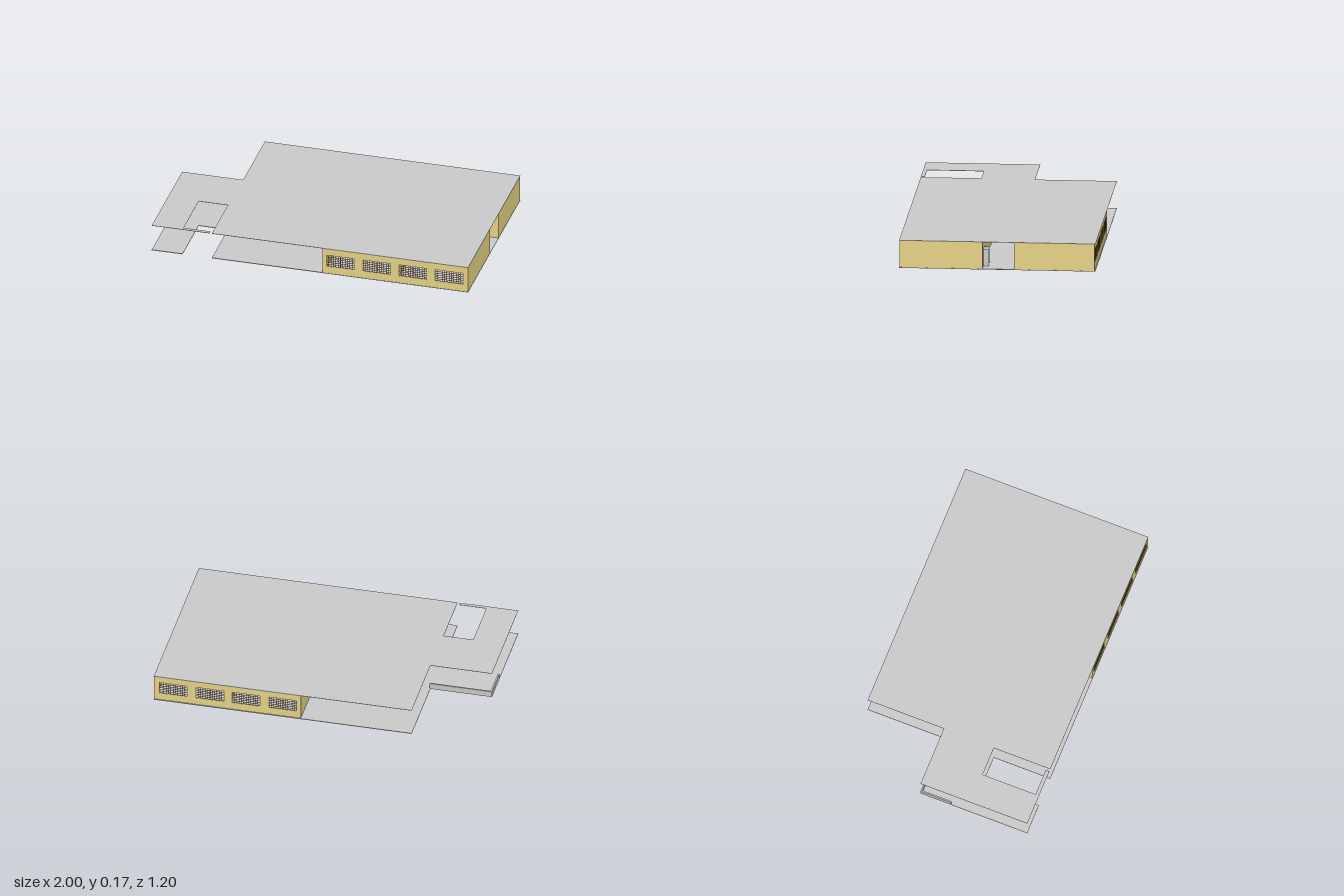
import * as THREE from 'three';

const H = 0.173, FLOOR = 0.004, ROOF = 0.002, T = 0.007;
const grey = new THREE.MeshStandardMaterial({ color: 0xcccccc });
const wallMat = new THREE.MeshStandardMaterial({ color: 0xe8d688 });
const barMat = new THREE.MeshStandardMaterial({ color: 0x7a5a2c });
const postMat = new THREE.MeshStandardMaterial({ color: 0xa8552c });

function add(parent, name, geometry, material) {
  const mesh = new THREE.Mesh(geometry, material);
  mesh.name = name;
  parent.add(mesh);
  return mesh;
}

// Box given by its minimum and maximum corners
function box(parent, name, a, b, material) {
  const g = new THREE.BoxGeometry(b[0] - a[0], b[1] - a[1], b[2] - a[2]);
  g.translate((a[0] + b[0]) / 2, (a[1] + b[1]) / 2, (a[2] + b[2]) / 2);
  return add(parent, name, g, material);
}

// Horizontal slab from an outline in x, z
function slab(parent, name, outline, top, depth) {
  const shape = new THREE.Shape(outline.map(p => new THREE.Vector2(...p)));
  const g = new THREE.ExtrudeGeometry(shape, { depth, bevelEnabled: false });
  g.rotateX(Math.PI / 2).translate(0, top, 0);
  return add(parent, name, g, grey);
}

// Upright wall along x with rectangular openings [x0, x1, y0, y1]
function wallWithOpenings(parent, name, x0, x1, z, openings) {
  const rect = (a, b, c, d, Type) => new Type([[a, c], [b, c], [b, d], [a, d]].map(p => new THREE.Vector2(...p)));
  const shape = rect(x0, x1, FLOOR, H - ROOF, THREE.Shape);
  openings.forEach(o => shape.holes.push(rect(...o, THREE.Path)));
  const g = new THREE.ExtrudeGeometry(shape, { depth: T, bevelEnabled: false });
  g.translate(0, 0, z);
  return add(parent, name, g, wallMat);
}

// Window grille: frame, bars and a coloured centre post
function windowGrille(parent, [x0, x1, y0, y1], z) {
  const group = new THREE.Group();
  group.name = 'windowGrille';
  const w = 0.0012, cols = 12, rows = 6;
  for (let i = 0; i <= cols; i++) {
    const x = x0 + (x1 - x0) * i / cols, middle = i === cols / 2;
    const r = middle ? 0.002 : w;
    box(group, middle ? 'centrePost' : 'uprightBar', [x - r, y0, z - r], [x + r, y1, z + r], middle ? postMat : barMat);
  }
  for (let j = 0; j <= rows; j++) {
    const y = y0 + (y1 - y0) * j / rows;
    box(group, 'crossBar', [x0, y - w, z - w], [x1, y + w, z + w], barMat);
  }
  parent.add(group);
}

export function createModel() {
  const model = new THREE.Group();
  model.name = 'schoolBuilding';

  // Floor with a stair notch open to the front
  slab(model, 'floor', [[-1, -0.1], [-0.615, -0.1], [-0.615, -0.6], [1, -0.6], [1, 0.6],
    [-0.62, 0.6], [-0.62, 0.23], [-0.805, 0.23], [-0.805, 0.6], [-1, 0.6]], FLOOR, FLOOR);

  // Roof with the stair opening and a narrow front strip
  slab(model, 'roof', [[-1, -0.1], [-0.615, -0.1], [-0.615, -0.6], [1, -0.6], [1, 0.6],
    [-0.62, 0.6], [-0.62, 0.23], [-0.805, 0.23], [-0.805, 0.577], [-0.635, 0.577],
    [-0.635, 0.6], [-1, 0.6]], H, ROOF);

  // Two room blocks either side of the corridor
  const windows = [[0.105, 0.28], [0.335, 0.51], [0.562, 0.738], [0.792, 0.968]].map(r => [...r, 0.052, 0.128]);
  const doors = [[0.15, 0.232], [0.842, 0.925]].map(r => [...r, FLOOR + 0.001, 0.108]);
  const left = 0.08, right = 0.999;
  const blocks = [
    { name: 'frontRooms', z0: 0.09, z1: 0.599, windowZ: 0.599 - T, doorZ: 0.09 },
    { name: 'backRooms', z0: -0.595, z1: -0.103, windowZ: -0.595, doorZ: -0.103 - T },
  ];
  for (const { name, z0, z1, windowZ, doorZ } of blocks) {
    const rooms = new THREE.Group();
    rooms.name = name;
    model.add(rooms);
    wallWithOpenings(rooms, 'windowWall', left, right, windowZ, windows);
    wallWithOpenings(rooms, 'corridorWall', left, right, doorZ, doors);
    windows.forEach(o => windowGrille(rooms, o, windowZ + T / 2));
    for (const [part, x] of [['endWall', left], ['dividingWall', 0.5365], ['endWall', right - T]])
      box(rooms, part, [x, FLOOR, z0 + T], [x + T, H - ROOF, z1 - T], wallMat);
    // Open double door leaves, swung towards -z
    for (const [x0, x1, y0, y1] of doors)
      for (const x of [x0, x1 - 0.003])
        box(rooms, 'doorLeaf', [x, y0, doorZ - 0.033], [x + 0.003, y1, doorZ], grey);
  }

  // Low parapet around the back corner of the wing
  box(model, 'backParapet', [-1, FLOOR, -0.1], [-0.61, 0.038, -0.091], grey);
  box(model, 'sideParapet', [-1, FLOOR, -0.091], [-0.99, 0.038, 0.1], grey);

  return model;
}
